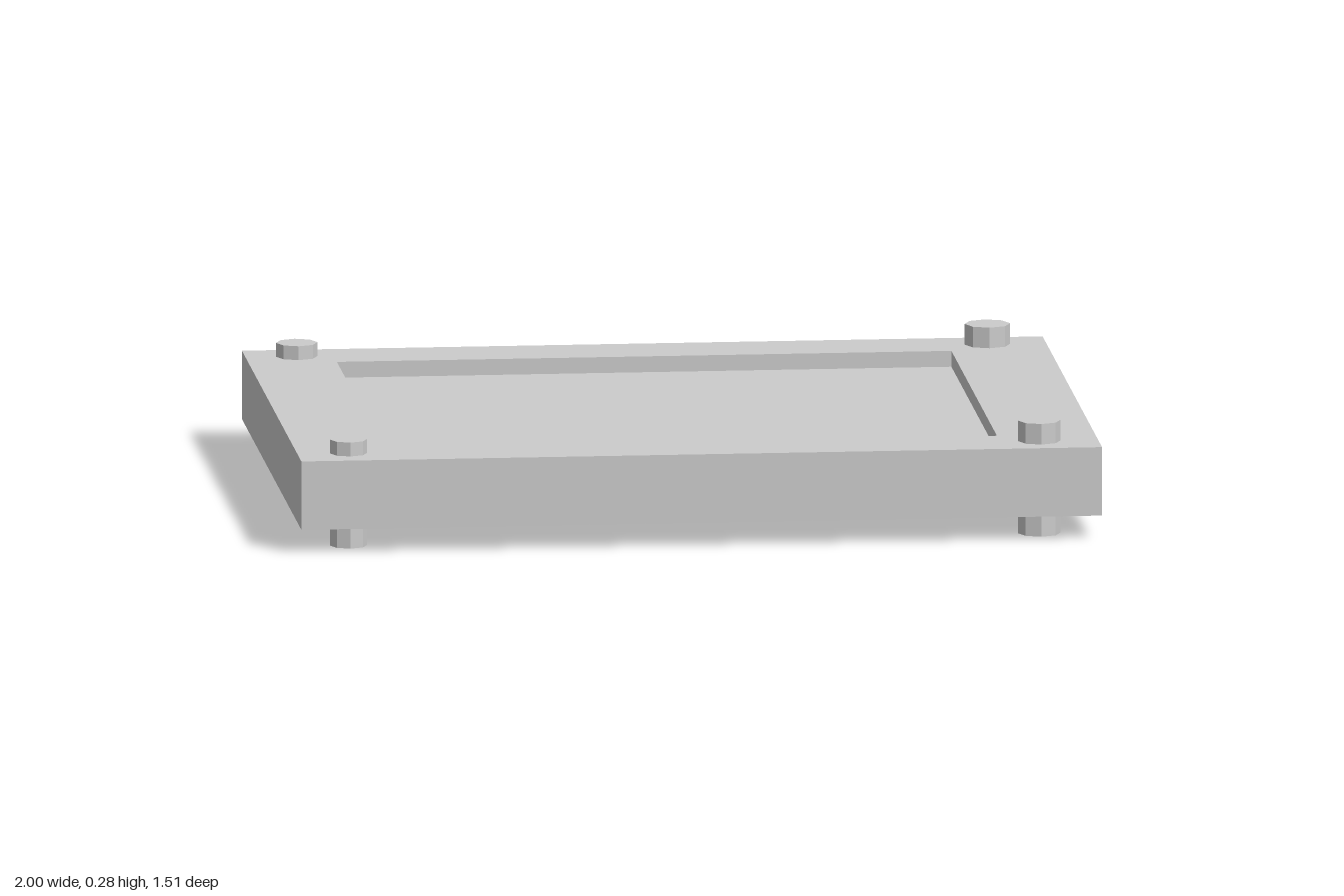
import * as THREE from 'three';

const material = new THREE.MeshStandardMaterial({ color: 0xcccccc, flatShading: true });

function addPart(group, name, geometry, x, y, z) {
  const mesh = new THREE.Mesh(geometry, material);
  mesh.name = name;
  mesh.position.set(x, y, z);
  group.add(mesh);
}

// Rectangle outline in plan; shape y becomes -z once laid flat
function trace(path, x0, x1, z0, z1) {
  path.moveTo(x0, -z1);
  path.lineTo(x1, -z1);
  path.lineTo(x1, -z0);
  path.lineTo(x0, -z0);
  path.closePath();
  return path;
}

export function createModel() {
  const model = new THREE.Group();
  model.name = 'framedPanel';

  // Rectangular frame with a slightly off-centre opening
  const bottom = 0.06, top = 0.233;
  const outline = trace(new THREE.Shape(), -1, 1, -0.757, 0.757);
  outline.holes.push(trace(new THREE.Path(), -0.78, 0.755, -0.582, 0.577));
  const frame = new THREE.ExtrudeGeometry(outline, { depth: top - bottom, bevelEnabled: false });
  frame.rotateX(-Math.PI / 2);
  addPart(model, 'frame', frame, 0, bottom, 0);

  // Panel recessed on both faces
  addPart(model, 'panel', new THREE.BoxGeometry(1.535, 0.09, 1.159), -0.0125, 0.148, -0.0025);

  // Octagonal corner bolts passing through the frame: name, x, z, radius, top
  const bolts = [
    ['frontLeftBolt', 0.853, 0.655, 0.053, 0.285],
    ['backLeftBolt', 0.853, -0.665, 0.057, 0.285],
    ['frontRightBolt', -0.872, 0.655, 0.046, 0.268],
    ['backRightBolt', -0.872, -0.667, 0.052, 0.268],
  ];
  for (const [name, x, z, radius, height] of bolts) {
    addPart(model, name, new THREE.CylinderGeometry(radius, radius, height, 8), x, height / 2, z);
  }

  return model;
}
